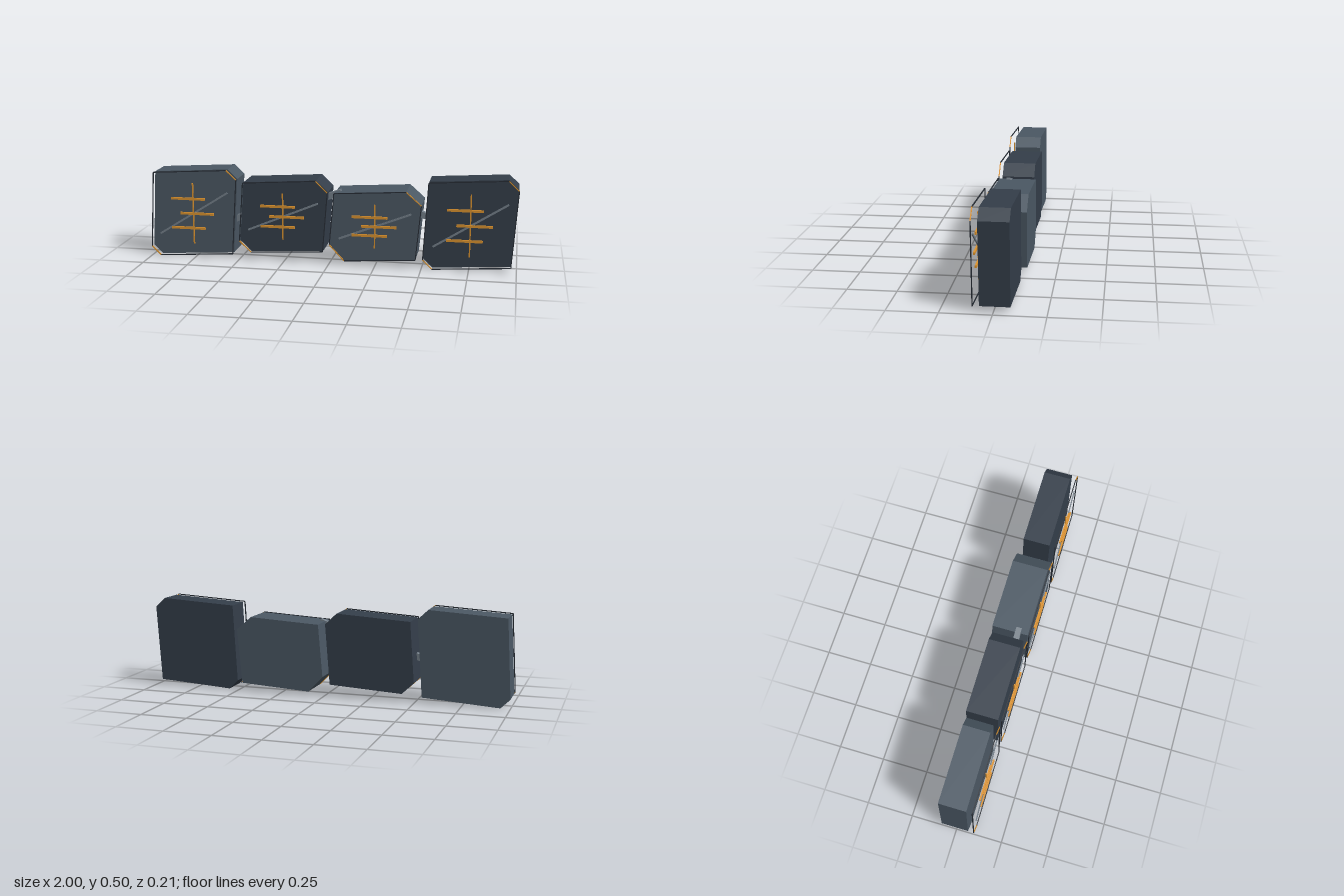
import * as THREE from 'three';

const mat = (color) => new THREE.MeshStandardMaterial({ color });

export function createModel() {
  const root = new THREE.Group();
  const slate = mat(0x4b5864), navy = mat(0x343e4a), dark = mat(0x262c34);
  const steel = mat(0x75808a), amber = mat(0xdd942f);

  // Box stretched between two points in the front plane
  function strip(parent, name, a, b, z, height, depth, material) {
    const dx = b[0] - a[0], dy = b[1] - a[1];
    const mesh = new THREE.Mesh(new THREE.BoxGeometry(Math.hypot(dx, dy), height, depth), material);
    mesh.position.set((a[0] + b[0]) / 2, (a[1] + b[1]) / 2, z);
    mesh.rotation.z = Math.atan2(dy, dx);
    mesh.name = name;
    parent.add(mesh);
  }

  // Outline runs clockwise from the upper left corner; edges 1 and 4 are the cut corners
  const tall = (x) => [[-0.222, 0.472], [0.19, 0.497], [0.244, 0.446], [0.217, 0.031], [-0.196, 0.004], [-0.246, 0.053]]
    .map(([px, py]) => [px + x, py]);
  const panels = [
    { x: -0.754, y: 0.25, gap: 0.082, post: 0.17, rise: 0.122, back: -0.08, front: 0.066, body: slate, outline: tall(-0.754) },
    { x: -0.252, y: 0.254, gap: 0.056, post: 0.13, rise: 0.081, back: -0.094, front: 0.078, body: navy,
      outline: [[-0.473, 0.432], [-0.072, 0.457], [-0.008, 0.396], [-0.034, 0.069], [-0.432, 0.046], [-0.497, 0.107]] },
    { x: 0.249, y: 0.223, gap: 0.05, post: 0.12, rise: 0.075, back: -0.106, front: 0.09, body: slate,
      outline: [[0.028, 0.394], [0.414, 0.417], [0.495, 0.346], [0.468, 0.048], [0.083, 0.025], [0.003, 0.11]] },
    { x: 0.753, y: 0.25, gap: 0.082, post: 0.17, rise: 0.122, back: -0.08, front: 0.066, body: navy, outline: tall(0.753) },
  ];

  panels.forEach((p, i) => {
    const panel = new THREE.Group();
    panel.name = `panel${i + 1}`;
    root.add(panel);

    // Thick slab with two cut corners
    const shape = new THREE.Shape(p.outline.map(([x, y]) => new THREE.Vector2(x, y)));
    const geometry = new THREE.ExtrudeGeometry(shape, { depth: p.front - p.back, bevelEnabled: false });
    const slab = new THREE.Mesh(geometry, p.body);
    slab.position.z = p.back;
    slab.name = 'slab';
    panel.add(slab);

    // Floating wire frame, amber across the cut corners
    p.outline.forEach((a, k) => {
      const cut = k % 3 === 1;
      strip(panel, cut ? 'cornerTrim' : 'frameEdge', a, p.outline[(k + 1) % 6], 0.0975, 0.005, 0.005, cut ? amber : dark);
    });

    // Slanted scratch line, upright post and three staggered bars
    strip(panel, 'slantLine', [p.x - 0.194, p.y - p.rise], [p.x + 0.193, p.y + p.rise], 0.097, 0.01, 0.006, steel);
    strip(panel, 'post', [p.x, p.y - p.post], [p.x, p.y + p.post], 0.099, 0.007, 0.005, amber);
    for (const k of [-1, 0, 1]) {
      const x = p.x + (k === 0 ? 0.022 : -0.028), y = p.y + k * p.gap;
      strip(panel, 'bar', [x - 0.095, y], [x + 0.095, y], 0.102, 0.013, 0.009, amber);
    }
  });

  // Short links joining neighbouring panels
  strip(root, 'link', [-0.55, 0.208], [-0.46, 0.242], 0.022, 0.034, 0.03, steel);
  strip(root, 'link', [-0.05, 0.352], [0.06, 0.39], 0.035, 0.034, 0.03, steel);
  strip(root, 'link', [0.45, 0.292], [0.56, 0.262], 0.01, 0.034, 0.03, steel);

  return root;
}
